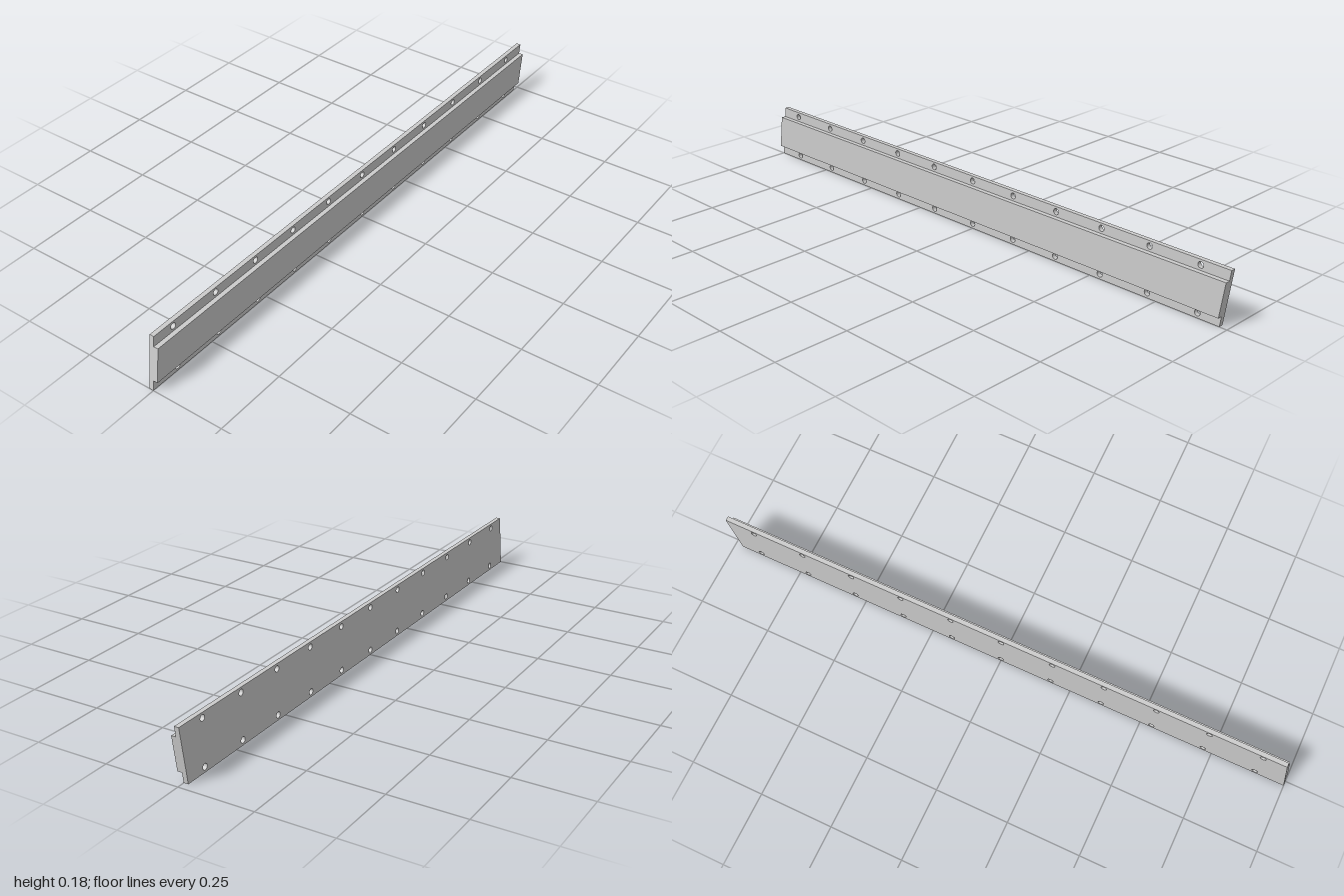
import * as THREE from 'three';

const H = 0.184, SLANT = 0.026, DEPTH = 0.0155;

// Parallelogram strip between two heights, its ends following the common slant
function slantedStrip(y0, y1) {
  const left = (y) => -1 + (SLANT * y) / H;
  const right = (y) => 1 - SLANT + (SLANT * y) / H;
  return new THREE.Shape([
    new THREE.Vector2(left(y0), y0),
    new THREE.Vector2(right(y0), y0),
    new THREE.Vector2(right(y1), y1),
    new THREE.Vector2(left(y1), y1),
  ]);
}

function extrudedPart(name, shape, z, material) {
  const geometry = new THREE.ExtrudeGeometry(shape, { depth: DEPTH, bevelEnabled: false, curveSegments: 24 });
  const mesh = new THREE.Mesh(geometry, material);
  mesh.name = name;
  mesh.position.z = z;
  return mesh;
}

export function createModel() {
  const group = new THREE.Group();
  group.name = 'slantedMountingRail';
  const material = new THREE.MeshStandardMaterial({ color: 0xcccccc });

  // Back plate with a row of bolt holes along each flange
  const plate = slantedStrip(0, H);
  for (const y of [0.017, H - 0.017]) {
    for (let i = -5; i <= 5; i++) {
      const hole = new THREE.Path();
      hole.absarc(i * 0.1795, y, 0.01, 0, Math.PI * 2, true);
      plate.holes.push(hole);
    }
  }
  group.add(extrudedPart('backPlate', plate, -DEPTH, material));

  // Raised band along the middle of the front
  group.add(extrudedPart('raisedBand', slantedStrip(0.034, 0.15), 0, material));
  return group;
}
